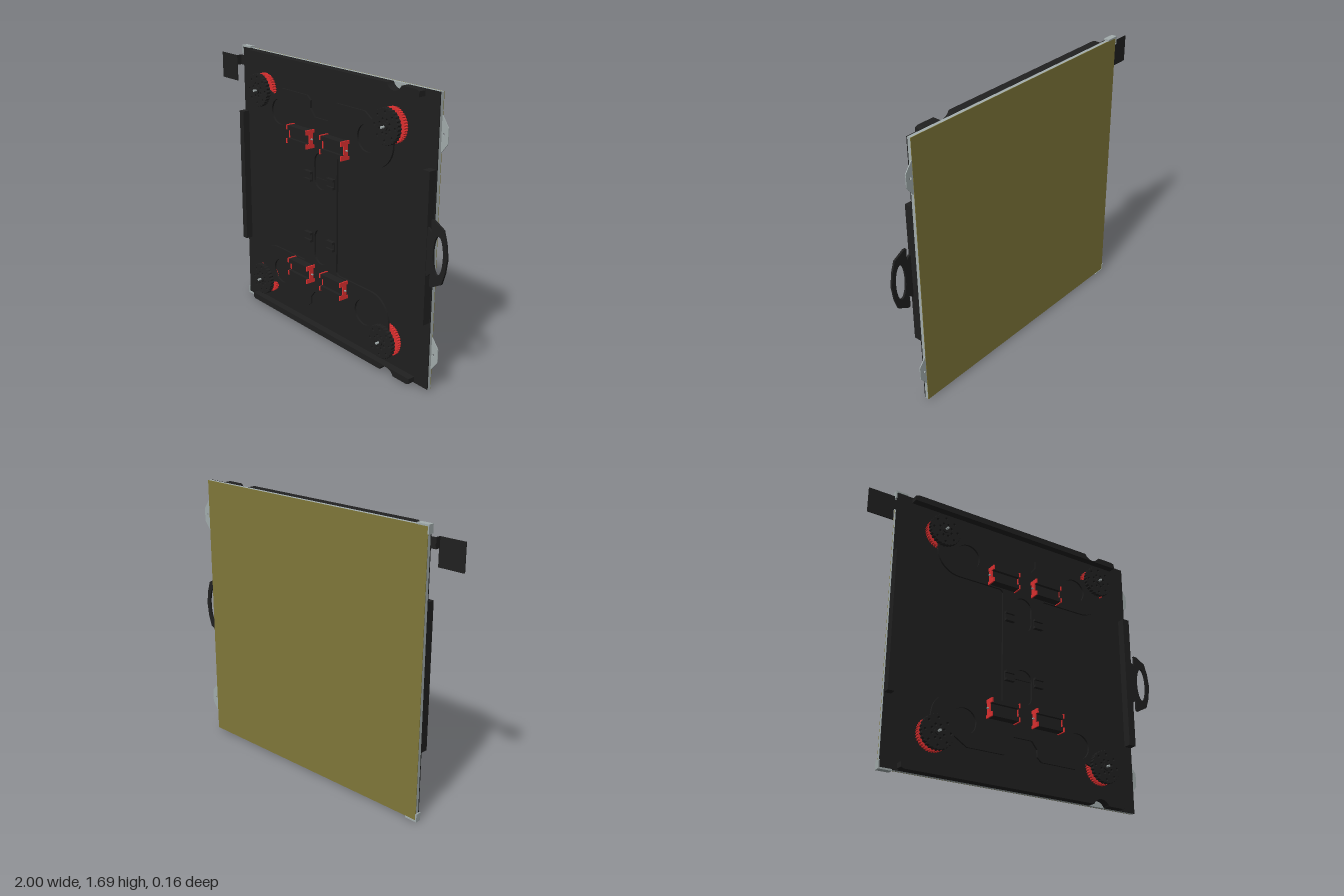
import * as THREE from 'three';

const mat = (color) => new THREE.MeshStandardMaterial({ color });
const BLACK = mat(0x202020), RED = mat(0xe03030), STEEL = mat(0xa3adad), OLIVE = mat(0x80783a);
const MX = 0.0225, MY = 0.845; // centre of the carriage

export function createModel() {
  const model = new THREE.Group();

  const add = (name, geometry, material, parent = model) => {
    const mesh = new THREE.Mesh(geometry, material);
    mesh.name = name;
    parent.add(mesh);
    return mesh;
  };
  const box = (name, x0, x1, y0, y1, z0, z1, material, parent) =>
    add(name, new THREE.BoxGeometry(x1 - x0, y1 - y0, z1 - z0)
      .translate((x0 + x1) / 2, (y0 + y1) / 2, (z0 + z1) / 2), material, parent);
  const poly = (pts) => new THREE.Shape(pts.map(([x, y]) => new THREE.Vector2(x, y)));
  const plate = (shape, z0, z1) => new THREE.ExtrudeGeometry(shape,
    { depth: z1 - z0, bevelEnabled: false, curveSegments: 24 }).translate(0, 0, z0);
  const hole = (shape, x, y, rx, ry = rx) =>
    shape.holes.push(new THREE.Path().absellipse(x, y, rx, ry, 0, Math.PI * 2));
  const arc = (cx, cy, r, a0, a1, n) => Array.from({ length: n + 1 }, (_, i) => {
    const a = a0 + (a1 - a0) * i / n;
    return [cx + r * Math.cos(a), cy + r * Math.sin(a)];
  });
  const flipY = (pts) => pts.map(([x, y]) => [x, 2 * MY - y]);

  // Layered door panel: back skin, core, front sheet with finger notches
  box('backSkin', -0.81, 0.86, 0.01, 1.68, -0.079, -0.076, OLIVE);
  box('panelCore', -0.81, 0.86, 0.01, 1.68, -0.076, -0.056, STEEL);
  const dip = Math.asin(0.025 / 0.06);
  const notch = arc(0.58, 1.705, 0.06, -dip, dip - Math.PI, 16);
  add('frontSheet', plate(poly([[0.86, MY], [0.86, 1.68], ...notch, [-0.81, 1.68], [-0.81, MY],
    [-0.81, 0.01], ...flipY(notch).reverse(), [0.86, 0.01]]), -0.056, -0.05), BLACK);

  // Edge rails
  const rail = [[0.76, 1.642], [0.76, 1.672], [0.74, 1.68], ...notch,
    [-0.69, 1.68], [-0.71, 1.672], [-0.71, 1.642]];
  add('topRail', plate(poly(rail), -0.05, -0.005), BLACK);
  add('bottomRail', plate(poly(flipY(rail)), -0.05, -0.005), BLACK);
  box('rightRail', -0.81, -0.77, 0.42, 1.28, -0.05, -0.005, BLACK);
  box('leftRail', 0.81, 0.857, 0.42, 1.28, -0.05, 0, BLACK);

  // Corner caps and hinge tabs, mirrored top and bottom
  for (const up of [true, false]) {
    const side = (pts) => poly(up ? pts : flipY(pts));
    add('cornerCap', plate(side([[-0.818, 1.64], [-0.818, 1.69], [-0.74, 1.69], [-0.74, 1.68],
      [-0.81, 1.68], [-0.81, 1.64]]), -0.082, -0.046), STEEL);
    const tab = side([[0.85, 1.57], [0.865, 1.555], [0.905, 1.50], [0.905, 1.42], [0.865, 1.37], [0.85, 1.355]]);
    hole(tab, 0.875, up ? 1.465 : 2 * MY - 1.465, 0.007);
    add('hingeTab', plate(tab, -0.077, -0.072), STEEL);
  }

  // Pull handle with an oval grip
  const handle = poly([[0.81, 0.71], [0.865, 0.71], [0.885, 0.73], [0.883, 0.66], [0.9, 0.658], [0.967, 0.695],
    [0.988, 0.76], [1, 0.845], [0.988, 0.93], [0.967, 0.995], [0.9, 1.032], [0.883, 1.03],
    [0.885, 0.96], [0.865, 0.98], [0.81, 0.98]]);
  hole(handle, 0.936, MY, 0.035, 0.108);
  add('handle', plate(handle, -0.015, -0.003), BLACK);

  // Stepped side flag
  const flag = new THREE.Group();
  flag.name = 'sideFlag';
  model.add(flag);
  box('flagPlate', -1, -0.84, 1.465, 1.625, -0.023, -0.018, BLACK, flag);
  box('flagStep', -0.845, -0.838, 1.565, 1.625, -0.055, -0.018, BLACK, flag);
  box('flagNeck', -0.84, -0.80, 1.565, 1.625, -0.056, -0.05, BLACK, flag);

  // Carriage plate: one quadrant reflected four ways
  const quad = [[0.14, 0], [0.14, 0.35], [0.155, 0.365],
    ...arc(0.435, 0.515, 0.15, -Math.PI / 2, 0, 10), [0.585, 0.61], [0.555, 0.65], [0.44, 0.61],
    [0.36, 0.66], [0.125, 0.66], [0.095, 0.635], [0.095, 0.59], [0.06, 0.545]];
  const put = (pts, sx, sy) => pts.map(([x, y]) => [MX + sx * x, MY + sy * y]);
  const back = [...quad].reverse();
  const carriage = poly([...put(quad, 1, 1), ...put(back, -1, 1).slice(0, -1),
    ...put(quad, -1, -1), ...put(back, 1, -1).slice(0, -1)]);
  for (const sy of [1, -1]) {
    for (const sx of [1, -1]) hole(carriage, MX + sx * 0.383, MY + sy * 0.515, 0.077);
    const cy = MY + sy * 0.235;
    carriage.holes.push(new THREE.Path(poly([
      ...arc(MX, cy + 0.05, 0.06, 0, Math.PI, 12),
      ...arc(MX, cy - 0.05, 0.06, Math.PI, Math.PI * 2, 12)]).getPoints()));
  }
  add('carriagePlate', plate(carriage, 0.004, 0.016), BLACK);
  box('carriageSpine', MX - 0.13, MX + 0.13, 0.66, 1.03, -0.004, 0.004, BLACK);

  // Toothed discs used for the wheels
  const gear = (r, teeth) => {
    const pts = [];
    for (let i = 0; i < teeth * 4; i++) {
      const a = i / (teeth * 4) * Math.PI * 2, rr = i % 4 < 2 ? r : r * 0.95;
      pts.push([rr * Math.cos(a), rr * Math.sin(a)]);
    }
    return poly(pts);
  };
  const tread = gear(0.1, 28);
  for (let i = 0; i < 8; i++) {
    const a = i / 8 * Math.PI * 2;
    hole(tread, 0.077 * Math.cos(a), 0.077 * Math.sin(a), 0.008);
    hole(tread, 0.04 * Math.cos(a + 0.4), 0.04 * Math.sin(a + 0.4), 0.008);
  }
  const treadGeo = plate(tread, 0.027, 0.053);
  const gearGeo = plate(gear(0.098, 40), -0.02, 0.004);
  const axleGeo = new THREE.CylinderGeometry(0.007, 0.007, 0.132, 16).rotateX(Math.PI / 2).translate(0, 0, 0.014);
  const hubGeo = new THREE.CylinderGeometry(0.022, 0.022, 0.05, 20).rotateX(Math.PI / 2).translate(0, 0, 0.035);

  // Motor block profile (z, y), notched front and back, run along x
  const profile = [[0.016, -0.055], [0.077, -0.055], [0.077, -0.027], [0.054, -0.027], [0.054, 0.027],
    [0.077, 0.027], [0.077, 0.055], [0.016, 0.055], [0.016, 0.035], [0.026, 0.035], [0.026, -0.035], [0.016, -0.035]];
  const alongX = (pts, half) => plate(poly(pts), -half, half).rotateY(-Math.PI / 2);
  const endGeo = alongX(profile, 0.004);
  const bodyGeo = alongX(profile.map(([z, y]) => [0.04 + (z - 0.04) * 0.85, y * 0.92]), 0.089);
  const pinGeo = new THREE.CylinderGeometry(0.005, 0.005, 0.206, 12).rotateZ(Math.PI / 2).translate(0, 0, 0.04);

  for (const sx of [1, -1]) for (const sy of [1, -1]) {
    const wheel = new THREE.Group();
    wheel.name = 'wheel';
    wheel.position.set(MX + sx * 0.557, MY + sy * 0.62, 0);
    add('wheelDisc', treadGeo, BLACK, wheel);
    add('wheelHub', hubGeo, BLACK, wheel);
    add('wheelGear', gearGeo, RED, wheel);
    add('axle', axleGeo, STEEL, wheel);

    const block = new THREE.Group();
    block.name = 'rollerBlock';
    block.position.set(MX + sx * 0.151, MY + sy * 0.42, 0);
    add('rollerBody', bodyGeo, BLACK, block);
    add('rollerPin', pinGeo, STEEL, block);
    for (const e of [1, -1]) add('rollerEnd', endGeo, RED, block).position.x = e * 0.09;
    model.add(wheel, block);

    // Small clips beside the slots
    const cx = MX + sx * 0.1, cy = MY + sy * 0.19;
    box('clipBase', cx - 0.03, cx + 0.03, cy - 0.03, cy + 0.03, 0.016, 0.026, BLACK);
    for (const e of [1, -1]) {
      const y = cy + e * 0.023;
      box('clipLip', cx - 0.03, cx + 0.03, y - 0.007, y + 0.007, 0.026, 0.04, BLACK);
    }
  }
  return model;
}
